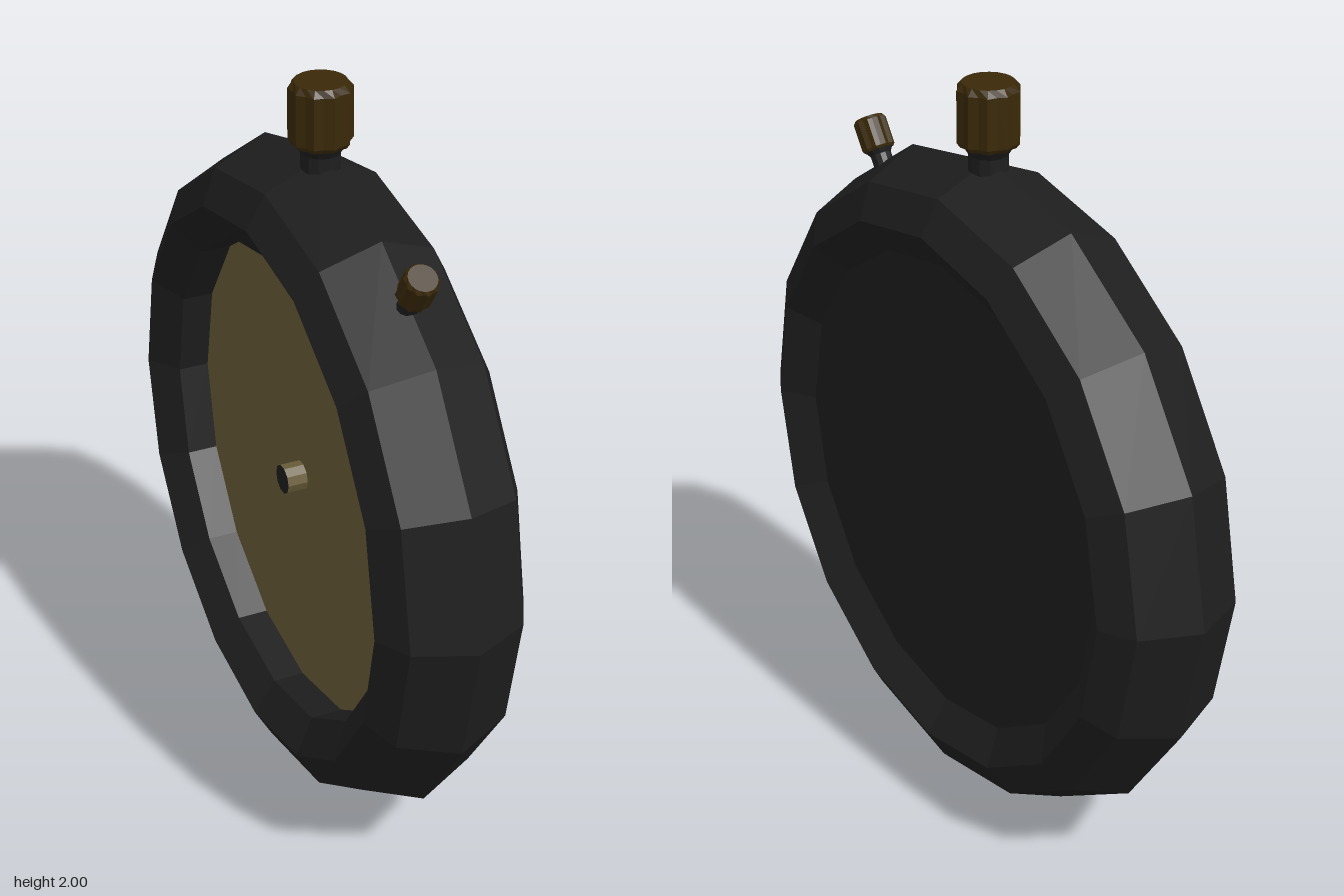
import * as THREE from 'three';

const mat = (name, color) => {
  const m = new THREE.MeshStandardMaterial({ color, flatShading: true });
  m.name = name;
  return m;
};

export function createModel() {
  const black = mat('black casing', 0x1e1e1e);
  const paleBrass = mat('pale brass', 0x675a36);
  const brass = mat('dark brass', 0x3a2908);

  const model = new THREE.Group();
  model.name = 'pocketWatch';
  const CENTRE = 0.9;

  const lathe = (pts, segments) =>
    new THREE.LatheGeometry(pts.map(([r, y]) => new THREE.Vector2(r, y)), segments);
  const add = (parent, name, geometry, material) => {
    const mesh = new THREE.Mesh(geometry, material);
    mesh.name = name;
    parent.add(mesh);
  };

  // Watch body: everything turned about the x axis, the open dial facing -x
  const body = new THREE.Group();
  body.name = 'body';
  body.position.y = CENTRE;
  body.rotation.z = -Math.PI / 2;
  model.add(body);

  add(body, 'case', lathe([
    [0.65, -0.055], [0.65, -0.14], [0.74, -0.2], [0.83, -0.15], [0.895, 0],
    [0.83, 0.15], [0.74, 0.2], [0.65, 0.14], [0, 0.14],
  ], 16), black);
  add(body, 'dial', lathe([[0, -0.055], [0.65, -0.055]], 16), paleBrass);

  // Centre pin with a dark end
  add(body, 'centrePin', lathe([[0.04, -0.11], [0.04, -0.05]], 10), paleBrass);
  add(body, 'centrePinEnd', lathe([[0, -0.11], [0.04, -0.11]], 10), black);

  // Ribbed knob on a short flared neck; its top is at y = 0
  function makeKnob(name) {
    const knob = new THREE.Group();
    knob.name = name;
    const profile = [[0, -0.162], [0.072, -0.162], [0.081, -0.15], [0.081, -0.017], [0.066, 0], [0, 0]];
    const grip = lathe(profile, 20);
    const p = grip.attributes.position;
    // Pull in every second column of the side to make the ribs
    for (let i = 0; i < p.count; i++) {
      const column = Math.floor(i / profile.length);
      if (column % 2 && p.getY(i) < -0.01) {
        p.setX(i, p.getX(i) * 0.9);
        p.setZ(i, p.getZ(i) * 0.9);
      }
    }
    add(knob, name + 'Grip', grip, brass);
    add(knob, name + 'Neck',
      lathe([[0.05, -0.26], [0.05, -0.185], [0.066, -0.16]], 12), black);
    return knob;
  }

  const crown = makeKnob('crown');
  crown.position.y = 2;
  model.add(crown);

  // Smaller side button, square to the neighbouring case facet
  const tilt = Math.PI * 3 / 16;
  const button = makeKnob('sideButton');
  button.scale.setScalar(0.55);
  button.rotation.x = tilt;
  button.position.set(0, CENTRE + Math.cos(tilt), Math.sin(tilt));
  model.add(button);

  return model;
}
